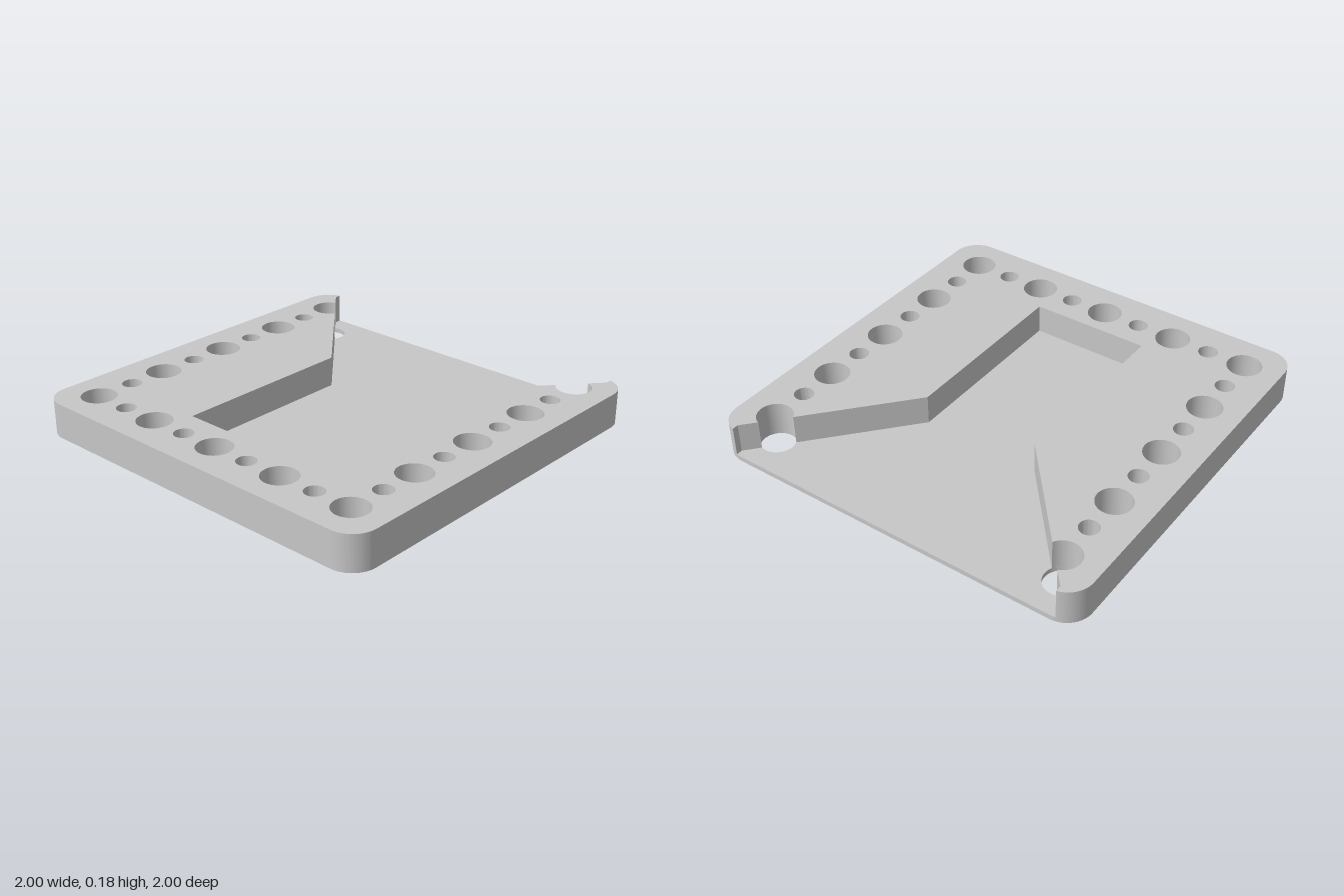
import * as THREE from 'three';
import { toCreasedNormals } from 'three/addons/utils/BufferGeometryUtils.js';

const HEIGHT = 0.178, FLOOR = 0.025;
const R = 0.13, C = 1 - R;                // corner radius and corner centre
const PITCH = 0.2025, EDGE = 4 * PITCH;   // hole spacing and row offset
const BIG = 0.088, SMALL = 0.049;
const TIP = [0.9, -0.965], NECK = [0.31, -0.288], SLOT_END = 0.663;

// Extrude a plan drawn in (x, z) between two heights
function slab(shape, y0, y1) {
  const g = new THREE.ExtrudeGeometry(shape, { depth: y1 - y0, bevelEnabled: false, curveSegments: 20 });
  g.rotateX(Math.PI / 2).translate(0, y1, 0);
  return toCreasedNormals(g, 0.5);
}

// Alternating large and small holes along the sides and the front
function holes(includeBackCorners) {
  const list = [];
  const add = (x, z, i) => {
    const p = new THREE.Path();
    p.absarc(x, z, i % 2 ? SMALL : BIG, 0, Math.PI * 2, false);
    list.push(p);
  };
  for (let i = includeBackCorners ? -4 : -3; i <= 4; i++) {
    for (const s of [-1, 1]) add(s * EDGE, i * PITCH, i);
  }
  for (let i = -3; i <= 3; i++) add(i * PITCH, EDGE, i);
  return list;
}

// Full rounded square
function floorShape() {
  const s = new THREE.Shape();
  const q = Math.PI / 2;
  s.absarc(C, C, R, 0, q);
  s.absarc(-C, C, R, q, 2 * q);
  s.absarc(-C, -C, R, 2 * q, 3 * q);
  s.absarc(C, -C, R, 3 * q, 4 * q);
  s.closePath();
  s.holes = holes(true);
  return s;
}

// U-shaped wall around the funnel recess, whose slope cuts the back corner holes
function wallShape() {
  const a = Math.acos((TIP[0] - C) / R);  // where the recess meets the rounded corner
  const tip = new THREE.Vector2(...TIP);
  const dir = new THREE.Vector2(...NECK).sub(tip).normalize();
  const rel = new THREE.Vector2(EDGE, -EDGE).sub(tip);
  const mid = rel.dot(dir), off = rel.cross(dir);
  const half = Math.sqrt(BIG * BIG - off * off);
  const angleAt = (t) => {
    const p = dir.clone().multiplyScalar(t).sub(rel);
    return Math.atan2(p.y, p.x);
  };
  const a0 = angleAt(mid - half), a1 = angleAt(mid + half);

  const s = new THREE.Shape();
  s.absarc(-C, -C, R, Math.PI + a, Math.PI, true);
  s.absarc(-C, C, R, Math.PI, Math.PI / 2, true);
  s.absarc(C, C, R, Math.PI / 2, 0, true);
  s.absarc(C, -C, R, 0, -a, true);
  s.lineTo(TIP[0], TIP[1]);
  s.absarc(EDGE, -EDGE, BIG, a0, a1, false);
  s.lineTo(NECK[0], NECK[1]);
  s.lineTo(NECK[0], SLOT_END);
  s.lineTo(-NECK[0], SLOT_END);
  s.lineTo(-NECK[0], NECK[1]);
  s.absarc(-EDGE, -EDGE, BIG, Math.PI - a1, Math.PI - a0, false);
  s.lineTo(-TIP[0], TIP[1]);
  s.closePath();
  s.holes = holes(false);
  return s;
}

export function createModel() {
  const group = new THREE.Group();
  group.name = 'perforatedTray';
  const grey = new THREE.MeshStandardMaterial({ color: 0xc7c7c7 });
  grey.name = 'grey';

  const floor = new THREE.Mesh(slab(floorShape(), 0, FLOOR), grey);
  floor.name = 'floorPlate';
  const wall = new THREE.Mesh(slab(wallShape(), FLOOR, HEIGHT), grey);
  wall.name = 'raisedWall';
  group.add(floor, wall);
  return group;
}
